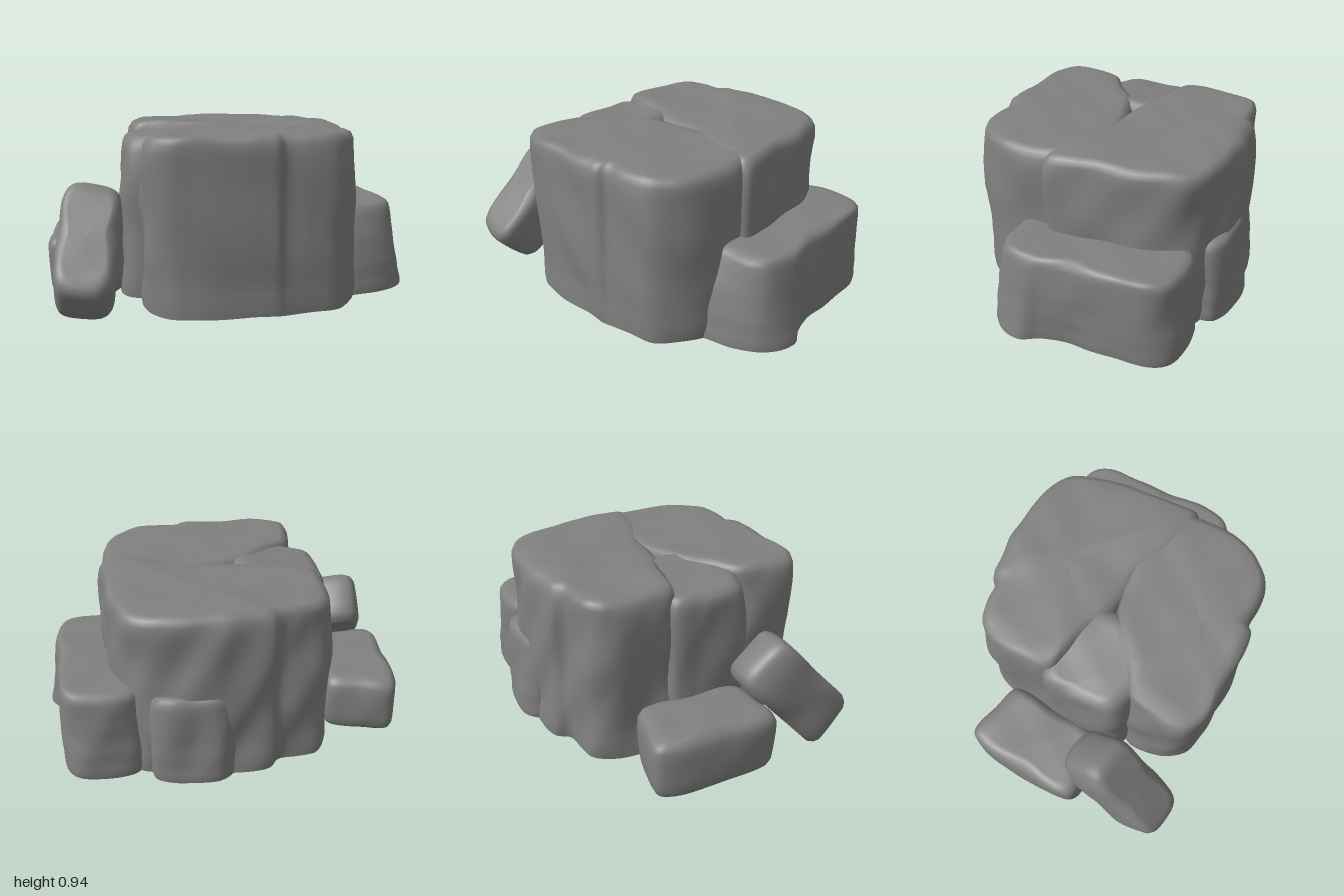
import * as THREE from 'three';

const stone = new THREE.MeshStandardMaterial({ color: 0x808080 });
stone.name = 'grey stone';

// side profile: [height fraction, inset from the outline]
const STANDING = [[0, 0.006], [0.06, 0], [0.13, 0.002], [0.2, 0.004], [0.28, 0], [0.36, 0.002], [0.44, 0.004], [0.52, 0.004],
  [0.6, 0.002], [0.68, 0.004], [0.76, 0.006], [0.84, 0.008], [0.9, 0.012], [0.95, 0.018], [0.985, 0.036], [1, 0.07]];
const LOOSE = [[0, 0.05], [0.06, 0.02], [0.15, 0.004], [0.3, 0], [0.5, 0], [0.7, 0.002], [0.85, 0.006], [0.94, 0.022], [1, 0.055]];

// smooth, repeatable bumpiness
function bump(x, y, z, s) {
  return Math.sin(8 * x + 4 * y + s) * Math.sin(7 * z - 6 * y + 2 * s)
    + 0.7 * Math.sin(13 * y + 11 * x + s * 3) * Math.sin(15 * z + 9 * x - s)
    - 0.6 * Math.abs(Math.sin(9 * x - 8 * z + 5 * y + s)) + 0.25;
}

// closed smooth outline through [x, z] points
function ring(points, n) {
  const curve = new THREE.CatmullRomCurve3(points.map(([x, z]) => new THREE.Vector3(x, 0, z)), true, 'centripetal');
  return Array.from({ length: n }, (_, i) => curve.getPoint(i / n));
}

// a boulder lofted from a base outline to a top outline
function rock(name, base, { top = base, y0 = 0.01, height, profile = STANDING, rough = 0.012, seed = 1, tiltX = 0 }) {
  const area = base.reduce((a, p, i) => {
    const q = base[(i + 1) % base.length];
    return a + p[0] * q[1] - q[0] * p[1];
  }, 0);
  if (area < 0) {
    base = [...base].reverse();
    top = [...top].reverse();
  }
  const n = 96;
  const low = ring(base, n), high = ring(top, n);
  const centre = low.reduce((c, p) => c.add(p), new THREE.Vector3()).divideScalar(n);
  const levels = profile.map(([t, inset]) => [t, inset, 1]);
  const lastInset = profile[profile.length - 1][1];
  for (const scale of [0.85, 0.65, 0.45, 0.25, 0]) levels.push([1, lastInset, scale]);

  const pos = [], index = [];
  levels.forEach(([t, inset, scale]) => {
    for (let i = 0; i < n; i++) {
      const p = low[i].clone().lerp(high[i], t).sub(centre);
      const out = p.clone().normalize();
      const y = y0 + height * t;
      const b = bump(p.x, y, p.z, seed) * rough;
      p.addScaledVector(out, b - inset).multiplyScalar(scale);
      const lift = t * t * (tiltX * p.x + 0.5 * rough * bump(p.x, y, p.z, seed + 2));
      pos.push(p.x + centre.x, y + lift, p.z + centre.z);
    }
  });
  for (let j = 0; j < levels.length - 1; j++) {
    for (let i = 0; i < n; i++) {
      const a = j * n + i, b = j * n + (i + 1) % n;
      index.push(a, a + n, b, b, a + n, b + n);
    }
  }
  // flat underside with its own vertices
  const start = pos.length / 3;
  pos.push(...pos.slice(0, n * 3), centre.x, y0, centre.z);
  for (let i = 0; i < n; i++) index.push(start + n, start + i, start + (i + 1) % n);

  const geo = new THREE.BufferGeometry();
  geo.setAttribute('position', new THREE.Float32BufferAttribute(pos, 3));
  geo.setIndex(index);
  geo.computeVertexNormals();
  const mesh = new THREE.Mesh(geo, stone);
  mesh.name = name;
  return mesh;
}

export function createModel() {
  const group = new THREE.Group();
  group.name = 'rockCluster';

  // front half of the large boulder, with a crevice near the top of its face
  group.add(rock('frontBoulder', [
    [-0.49, 0.3], [-0.52, 0.45], [-0.5, 0.58], [-0.41, 0.67], [-0.28, 0.71], [-0.1, 0.73], [0.05, 0.745], [0.13, 0.745],
    [0.18, 0.735], [0.32, 0.71], [0.46, 0.68], [0.57, 0.57], [0.64, 0.42], [0.65, 0.25], [0.6, 0.08],
    [0.4, -0.02], [0.1, -0.02], [-0.18, 0.06], [-0.36, 0.22],
  ], {
    top: [
      [-0.48, 0.31], [-0.52, 0.46], [-0.52, 0.63], [-0.44, 0.7], [-0.28, 0.72], [-0.1, 0.73], [0.05, 0.735], [0.13, 0.735],
      [0.18, 0.7], [0.32, 0.71], [0.47, 0.69], [0.57, 0.59], [0.63, 0.45], [0.64, 0.28], [0.6, 0.08],
      [0.4, -0.02], [0.1, -0.02], [-0.18, 0.06], [-0.36, 0.23],
    ], height: 0.91, seed: 1.3,
  }));

  // rear half of the large boulder
  group.add(rock('rearBoulder', [
    [-0.54, -0.3], [-0.53, -0.48], [-0.46, -0.58], [-0.34, -0.61], [-0.23, -0.62], [-0.17, -0.67], [0, -0.68], [0.13, -0.685],
    [0.3, -0.66], [0.47, -0.62], [0.56, -0.54], [0.62, -0.38], [0.65, -0.15], [0.67, 0.05], [0.66, 0.2],
    [0.5, 0.19], [0.2, 0.08], [-0.1, 0.06], [-0.25, -0.02], [-0.42, -0.09], [-0.53, -0.13],
  ], { height: 0.915, seed: 2.1, rough: 0.016 }));

  // chunk wedged into the side between the two halves
  group.add(rock('sideChunk', [
    [-0.56, -0.17], [-0.6, -0.02], [-0.61, 0.14], [-0.58, 0.26], [-0.48, 0.32], [-0.3, 0.34], [-0.1, 0.2], [-0.08, -0.05], [-0.3, -0.18],
  ], { height: 0.88, seed: 3.4, tiltX: 0.1, rough: 0.01 }));

  // low ledge along the left side, with a pointed foot
  group.add(rock('ledge', [
    [0.5, -0.58], [0.64, -0.63], [0.82, -0.6], [0.9, -0.51], [0.92, -0.3], [0.93, -0.05], [0.95, 0.09], [1.0, 0.2],
    [0.92, 0.37], [0.7, 0.46], [0.52, 0.47], [0.45, 0],
  ], {
    top: [
      [0.5, -0.58], [0.64, -0.63], [0.82, -0.6], [0.9, -0.51], [0.92, -0.3], [0.93, -0.05], [0.93, 0.06], [0.92, 0.16],
      [0.87, 0.32], [0.7, 0.37], [0.52, 0.33], [0.45, 0],
    ], height: 0.49, seed: 4.2, rough: 0.009,
  }));

  // low chunk against the back
  group.add(rock('backChunk', [
    [0.02, -0.67], [0.1, -0.74], [0.24, -0.735], [0.38, -0.72], [0.46, -0.66], [0.44, -0.5], [0.24, -0.45], [0.06, -0.5],
  ], {
    top: [
      [0.03, -0.67], [0.1, -0.71], [0.24, -0.71], [0.38, -0.7], [0.45, -0.65], [0.44, -0.5], [0.24, -0.45], [0.06, -0.5],
    ], height: 0.48, seed: 5.5, rough: 0.008,
  }));

  // loose boulder lying on the right
  group.add(rock('looseBoulder', [
    [-0.95, -0.4], [-0.9, -0.47], [-0.72, -0.43], [-0.57, -0.38], [-0.55, -0.32], [-0.57, -0.1], [-0.59, 0.12], [-0.64, 0.2],
    [-0.8, 0.22], [-0.94, 0.22], [-0.99, 0.18], [-0.985, -0.1],
  ], { height: 0.33, profile: LOOSE, seed: 6.1, rough: 0.008 }));

  // slab leaning back on the loose boulder
  const slab = rock('leaningSlab', [
    [-0.15, -0.25], [-0.1, -0.33], [0.08, -0.32], [0.14, -0.27], [0.155, 0], [0.14, 0.28], [0.09, 0.335],
    [-0.09, 0.33], [-0.14, 0.28], [-0.155, 0],
  ], { y0: -0.155, height: 0.31, profile: LOOSE, seed: 7.7, rough: 0.006 });
  slab.rotation.set(0.82, -0.2, -0.1, 'YXZ');
  slab.position.set(-0.79, 0.325, 0.42);
  group.add(slab);

  return group;
}
